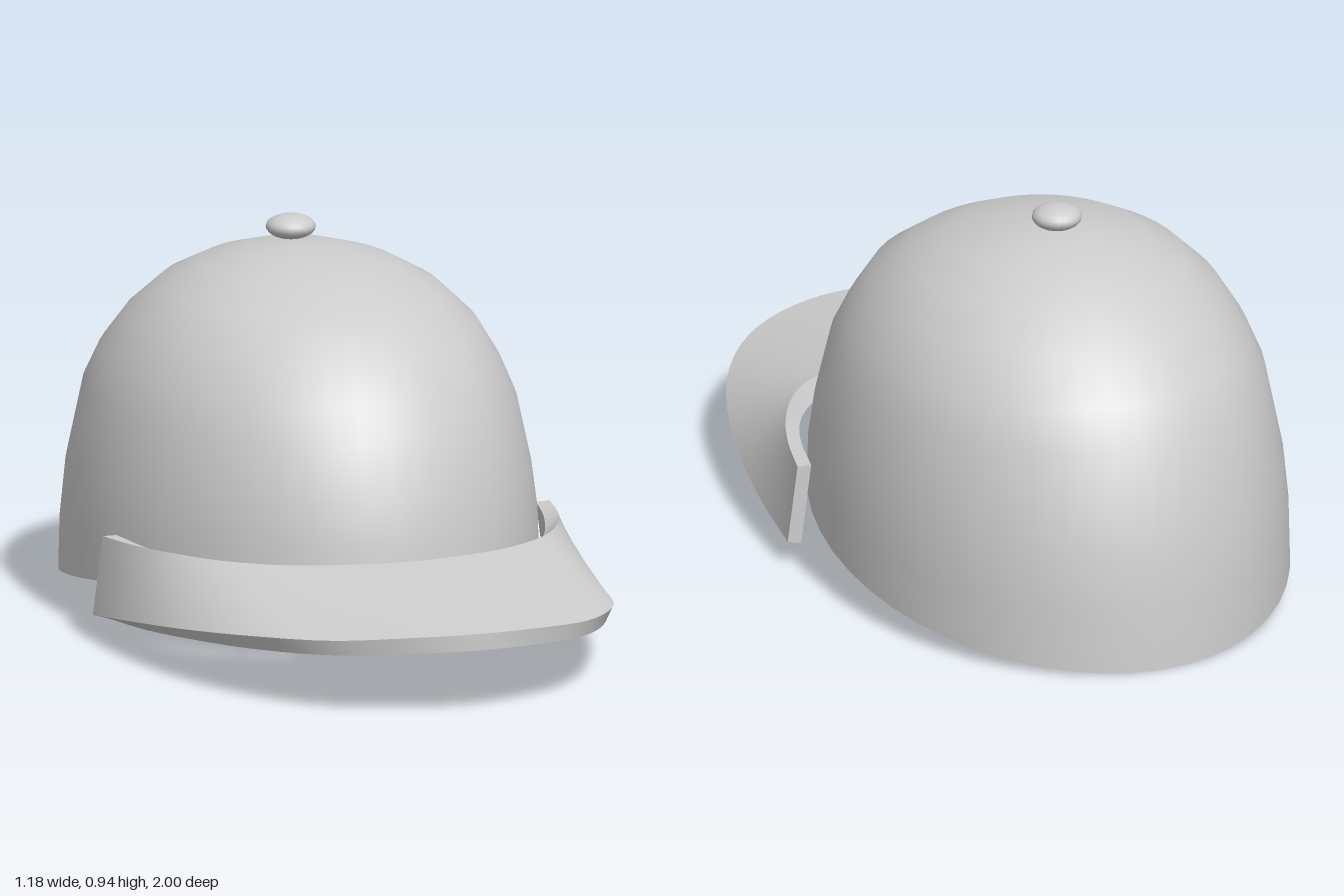
import * as THREE from 'three';
import { toCreasedNormals } from 'three/addons/utils/BufferGeometryUtils.js';

// Skin a list of closed cross-sections (each an array of Vector3)
function loft(rings, caps, crease) {
  const n = rings[0].length, last = (rings.length - 1) * n, index = [];
  for (let i = 0; i < rings.length - 1; i++) {
    for (let j = 0; j < n; j++) {
      const a = i * n + j, b = i * n + (j + 1) % n;
      index.push(a, b, b + n, a, b + n, a + n);
    }
  }
  if (caps) {
    for (let j = 1; j < n - 1; j++) {
      index.push(0, j + 1, j, last, last + j, last + j + 1);
    }
  }
  const geo = new THREE.BufferGeometry().setFromPoints(rings.flat());
  geo.setIndex(index);
  return toCreasedNormals(geo, crease);
}

// Crown rings: back y, front y, half width, back z, front z
const CROWN = [
  [0, 0.21, 0.55, -1, 0.45],
  [0.15, 0.3, 0.548, -0.99, 0.44],
  [0.3, 0.4, 0.535, -0.97, 0.415],
  [0.53, 0.53, 0.5, -0.9, 0.365],
  [0.62, 0.61, 0.465, -0.84, 0.31],
  [0.71, 0.7, 0.41, -0.75, 0.24],
  [0.79, 0.775, 0.33, -0.64, 0.12],
  [0.84, 0.83, 0.235, -0.53, 0],
  [0.87, 0.86, 0.13, -0.42, -0.13],
  [0.88, 0.88, 0, -0.28, -0.28],
];

function crownRing([yBack, yFront, halfX, zBack, zFront], inset, drop) {
  const mid = (zBack + zFront) / 2;
  const halfZ = Math.max(0, (zFront - zBack) / 2 - inset);
  const hx = Math.max(0, halfX - inset);
  const ring = [];
  for (let j = 0; j < 48; j++) {
    const a = (j / 48) * Math.PI * 2, c = Math.cos(a);
    const y = yBack + (yFront - yBack) * (c + 1) / 2 - drop;
    ring.push(new THREE.Vector3(hx * Math.sin(a), y, mid + halfZ * c));
  }
  return ring;
}

// Brim rails from the centre to the tip, mirrored to the other side
function rail(half) {
  const all = [
    ...half.slice(1).reverse().map(([x, y, z]) => [-x, y, z]),
    ...half,
  ];
  return new THREE.CatmullRomCurve3(all.map((p) => new THREE.Vector3(...p)));
}

const innerTop = rail([[0, 0.265, 0.485], [0.1, 0.265, 0.475], [0.265, 0.265, 0.43],
  [0.4, 0.265, 0.335], [0.485, 0.262, 0.2], [0.535, 0.255, 0.06], [0.565, 0.25, -0.08]]);
const outerTop = rail([[0, 0.2, 1], [0.17, 0.195, 0.965], [0.32, 0.18, 0.87],
  [0.45, 0.16, 0.68], [0.54, 0.125, 0.4], [0.58, 0.09, 0.13], [0.59, 0.06, -0.08]]);
const outerBottom = rail([[0, 0.16, 1], [0.17, 0.155, 0.96], [0.315, 0.143, 0.865],
  [0.435, 0.125, 0.675], [0.515, 0.098, 0.4], [0.55, 0.07, 0.13], [0.556, 0.052, -0.08]]);
const innerBottom = rail([[0, 0.225, 0.485], [0.1, 0.225, 0.475], [0.25, 0.225, 0.42],
  [0.375, 0.225, 0.32], [0.45, 0.235, 0.2], [0.5, 0.245, 0.06], [0.53, 0.25, -0.08]]);

export function createModel() {
  const group = new THREE.Group();
  const grey = new THREE.MeshStandardMaterial({ color: 0xcccccc });
  grey.name = 'light grey';
  const add = (name, geo) => {
    const mesh = new THREE.Mesh(geo, grey);
    mesh.name = name;
    group.add(mesh);
    return mesh;
  };

  // Crown: lining from apex down to the rim, then the outside back up
  const lining = CROWN.map((r, i) => crownRing(r, 0.025, 0.025 * i / (CROWN.length - 1)));
  const outside = CROWN.map((r) => crownRing(r, 0, 0));
  add('crown', loft([...lining.reverse(), ...outside], false, 1));

  // Brim: thin slab that is level in front and turns down at the sides
  const sections = [];
  for (let i = 0; i <= 48; i++) {
    const t = i / 48;
    sections.push([innerTop, outerTop, outerBottom, innerBottom].map((c) => c.getPoint(t)));
  }
  add('brim', loft(sections, true, 1));

  // Button on top of the crown
  const button = add('button', new THREE.SphereGeometry(0.06, 20, 12));
  button.scale.y = 0.5;
  button.position.set(0, 0.91, -0.33);

  return group;
}
